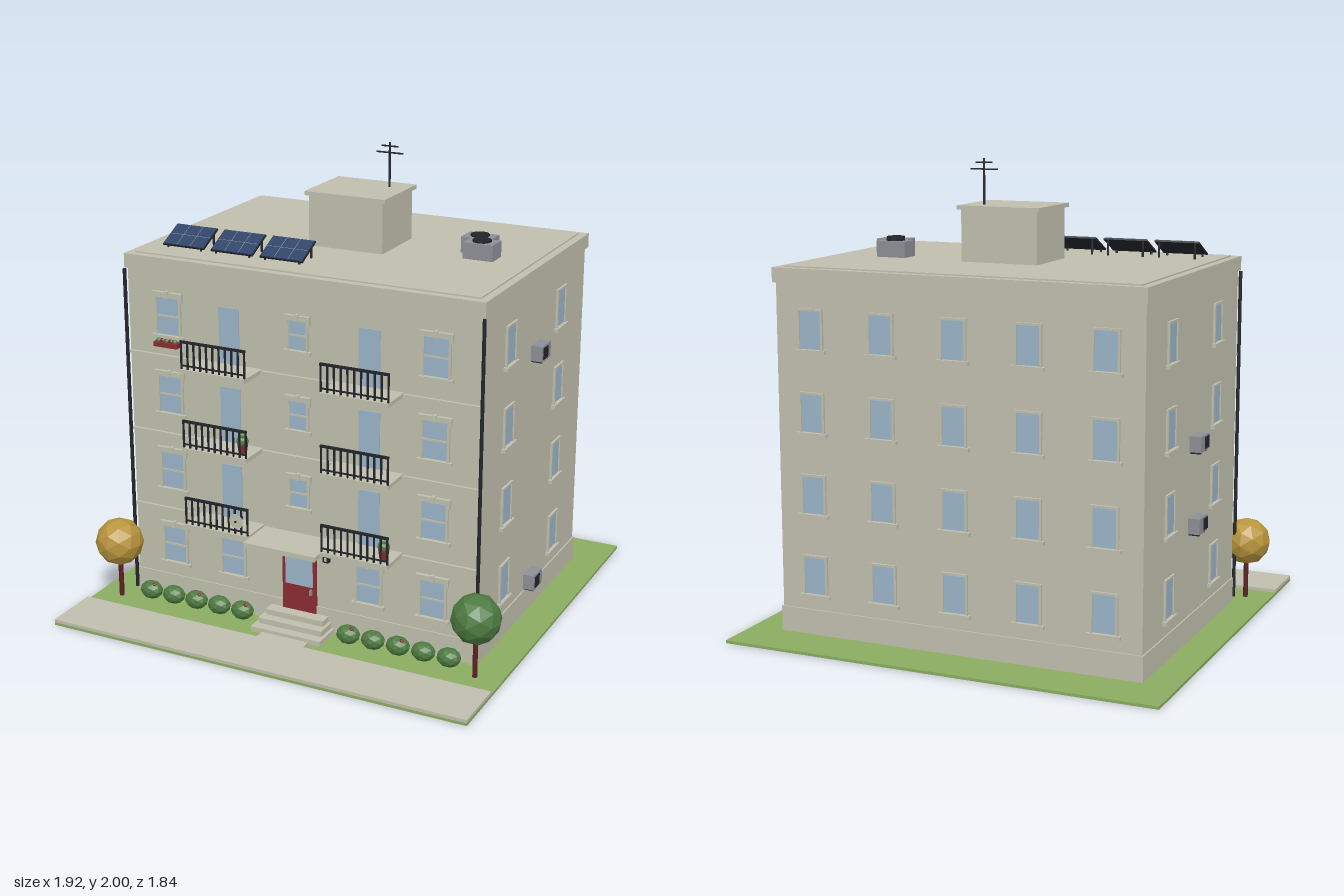
import * as THREE from 'three';

const COLORS = {
  stone: 0xc0bfae, lawn: 0x8bac60, glass: 0x9ab4c8, red: 0x8a2b30, black: 0x22242a,
  metal: 0x8d8f96, solar: 0x2f4468, leaf: 0x4d7a40, gold: 0xb8943c, bark: 0x5a2222,
};

export function createModel() {
  const root = new THREE.Group();
  root.name = 'apartmentBuilding';
  const mats = {};
  for (const [name, color] of Object.entries(COLORS)) {
    mats[name] = new THREE.MeshStandardMaterial({ color, flatShading: true });
    mats[name].name = name;
  }

  const add = (parent, name, geo, mat, x = 0, y = 0, z = 0) => {
    const m = new THREE.Mesh(geo, mats[mat]);
    m.name = name;
    m.position.set(x, y, z);
    parent.add(m);
    return m;
  };
  // Box given by its lower and upper limits on each axis
  const box = (parent, name, mat, x0, x1, y0, y1, z0, z1) =>
    add(parent, name, new THREE.BoxGeometry(x1 - x0, y1 - y0, z1 - z0), mat,
      (x0 + x1) / 2, (y0 + y1) / 2, (z0 + z1) / 2);
  const rod = (parent, name, mat, r, y0, y1, x, z, sides = 8) =>
    add(parent, name, new THREE.CylinderGeometry(r, r, y1 - y0, sides), mat, x, (y0 + y1) / 2, z);
  const group = (name, x = 0, y = 0, z = 0, ry = 0) => {
    const g = new THREE.Group();
    g.name = name;
    g.position.set(x, y, z);
    g.rotation.y = ry;
    root.add(g);
    return g;
  };

  const FRONT = 0.465, BACK = -0.695, SIDE = 0.81, STOREY = 0.348;

  // Ground
  box(root, 'lawn', 'lawn', -0.96, 0.96, 0, 0.012, -0.92, 0.915);
  box(root, 'pavement', 'stone', -0.96, 0.96, 0.012, 0.026, 0.665, 0.915);
  box(root, 'path', 'stone', -0.11, 0.11, 0.012, 0.02, 0.58, 0.666);

  // Main block with plinth, cornice and roof
  box(root, 'walls', 'stone', -SIDE, SIDE, 0.01, 1.51, BACK, FRONT);
  box(root, 'plinth', 'stone', -0.816, 0.816, 0.01, 0.12, -0.702, 0.471);
  box(root, 'cornice', 'stone', -0.82, 0.82, 1.504, 1.566, -0.71, 0.476);
  box(root, 'roofSlab', 'stone', -0.785, 0.785, 1.56, 1.572, -0.675, 0.441);
  for (let k = 1; k < 4; k++) {
    const y = 0.435 + (k - 1) * 0.35;
    box(root, 'stringCourse', 'stone', -0.812, 0.812, y - 0.006, y + 0.006, FRONT - 0.01, 0.478);
  }

  // Framed window facing local +z, with its frame bottom at local y = 0
  function windowUnit(name, x, y, z, ry, w, h, ornate) {
    const g = group(name, x, y, z, ry), a = w / 2, t = 0.01, d = 0.01;
    box(g, 'pane', 'glass', -a + t, a - t, t, h - t, -0.002, 0.004);
    for (const s of [-1, 1])
      add(g, 'jamb', new THREE.BoxGeometry(t, h, d), 'stone', s * (a - t / 2), h / 2, d / 2);
    box(g, 'frameTop', 'stone', -a + t, a - t, h - t, h, 0, d);
    box(g, 'sill', 'stone', -a - 0.012, a + 0.012, -0.008, 0.008, 0, 0.018);
    if (ornate) {
      box(g, 'crossbar', 'stone', -a + t, a - t, h * 0.5 - 0.004, h * 0.5 + 0.004, 0, 0.008);
      box(g, 'lintel', 'stone', -a - 0.01, a + 0.01, h - 0.008, h + 0.014, 0, 0.016);
      box(g, 'keystone', 'stone', -0.008, 0.008, h - 0.01, h + 0.019, 0, 0.019);
      for (const s of [-1, 1])
        add(g, 'bracket', new THREE.BoxGeometry(0.014, 0.018, 0.012), 'stone', s * (a + 0.001), h - 0.016, 0.006);
    }
  }

  for (let k = 0; k < 4; k++) {
    const yf = 0.178 + k * 0.3485;
    for (const s of [-1, 1]) {
      windowUnit('frontWindow', s * 0.615, yf, FRONT, 0, 0.126, 0.182, true);
      if (k === 0) windowUnit('frontWindow', s * 0.323, yf, FRONT, 0, 0.126, 0.182, true);
      for (const z of [-0.4, 0.18])
        windowUnit('sideWindow', s * SIDE, 0.18 + k * STOREY, z, s * Math.PI / 2, 0.11, 0.178, false);
    }
    if (k > 0) windowUnit('stairWindow', 0, 0.553 + (k - 1) * 0.346, FRONT, 0, 0.098, 0.143, true);
    for (let i = -2; i <= 2; i++)
      windowUnit('backWindow', i * 0.325, 0.18 + k * STOREY, BACK, Math.PI, 0.118, 0.178, false);
  }

  // Balconies with glazed doors and front railings
  for (let k = 0; k < 3; k++) for (const s of [-1, 1]) {
    const g = group('balcony', s * 0.323, 0.445 + k * 0.348, 0);
    box(g, 'slab', 'stone', -0.153, 0.153, -0.014, 0.004, FRONT, 0.615);
    box(g, 'balconyDoor', 'glass', -0.048, 0.048, 0.004, 0.248, FRONT - 0.002, FRONT + 0.004);
    box(g, 'topRail', 'black', -0.153, 0.153, 0.116, 0.126, 0.6, 0.61);
    box(g, 'bottomRail', 'black', -0.153, 0.153, 0.016, 0.022, 0.602, 0.608);
    for (let i = 0; i <= 10; i++) {
      const x = -0.149 + i * 0.0298;
      box(g, 'baluster', 'black', x - 0.0035, x + 0.0035, 0.004, 0.118, 0.6015, 0.6085);
    }
  }

  // Entrance: door, canopy, steps and lamps
  box(root, 'door', 'red', -0.08, 0.08, 0.085, 0.37, FRONT, 0.476);
  box(root, 'doorPane', 'glass', -0.065, 0.065, 0.205, 0.347, 0.474, 0.479);
  box(root, 'doorHandle', 'metal', 0.052, 0.062, 0.17, 0.195, 0.474, 0.486);
  box(root, 'canopy', 'stone', -0.163, 0.163, 0.415, 0.428, FRONT, 0.648);
  box(root, 'canopyTop', 'stone', -0.168, 0.168, 0.428, 0.441, FRONT, 0.655);
  for (let i = 0; i < 3; i++)
    box(root, 'step', 'stone', -0.165 + i * 0.014, 0.165 - i * 0.014, 0.01, 0.035 + i * 0.025, FRONT, 0.61 - i * 0.042);
  for (const s of [-1, 1]) {
    const g = group('wallLamp', s * 0.13, 0.353, FRONT);
    box(g, 'lampBody', 'black', -0.013, 0.013, -0.015, 0.015, 0, 0.02);
    box(g, 'lampFace', 'stone', -0.006, 0.006, -0.008, 0.008, 0.018, 0.022);
    rod(root, 'drainpipe', 'black', 0.008, 0.03, 1.5, s * 0.817, 0.48);
  }

  // Wall-mounted air conditioners
  for (const [s, y] of [[1, 1.2], [1, 0.16], [-1, 0.853], [-1, 0.507]]) {
    const g = group('wallAirConditioner', s * SIDE, y, -0.11, s * Math.PI / 2);
    box(g, 'housing', 'metal', -0.05, 0.05, -0.03, 0.036, 0, 0.05);
    box(g, 'grille', 'black', -0.038 * s - 0.0 - (s > 0 ? 0 : 0.052) + (s < 0 ? 0.014 : 0),
      -0.038 * s + (s > 0 ? 0.052 : 0.014), -0.022, 0.028, 0.048, 0.053);
    for (const x of [-0.035, 0.035]) box(g, 'foot', 'black', x - 0.005, x + 0.005, -0.038, -0.03, 0, 0.045);
  }

  // Roof house and aerial
  box(root, 'roofHouse', 'stone', -0.172, 0.172, 1.57, 1.795, -0.26, 0.035);
  box(root, 'roofHouseCap', 'stone', -0.187, 0.187, 1.79, 1.808, -0.275, 0.045);
  rod(root, 'aerialMast', 'black', 0.005, 1.8, 2, 0.1, -0.187);
  box(root, 'aerialBar', 'black', 0.038, 0.162, 1.952, 1.958, -0.19, -0.184);
  box(root, 'aerialBar', 'black', 0.062, 0.138, 1.98, 1.986, -0.19, -0.184);

  // Roof cooling units
  for (const [x, z] of [[0.52, -0.188], [0.563, -0.104]]) {
    box(root, 'coolingUnit', 'metal', x - 0.067, x + 0.067, 1.57, 1.641, z - 0.048, z + 0.048);
    rod(root, 'coolingFan', 'black', 0.04, 1.638, 1.65, x, z, 10);
  }

  // Tilted solar panels on legs
  for (const x of [-0.613, -0.38, -0.146]) {
    const g = group('solarPanel', x, 1.615, 0.275);
    const tilt = new THREE.Group();
    tilt.name = 'panel';
    tilt.rotation.x = 0.46;
    g.add(tilt);
    box(tilt, 'backing', 'black', -0.1, 0.1, -0.005, 0.002, -0.068, 0.068);
    box(tilt, 'cells', 'solar', -0.096, 0.096, 0.002, 0.005, -0.065, 0.065);
    for (const t of [-0.032, 0.032]) box(tilt, 'cellLine', 'metal', t - 0.001, t + 0.001, 0.004, 0.006, -0.065, 0.065);
    box(tilt, 'cellLine', 'metal', -0.096, 0.096, 0.004, 0.006, -0.001, 0.001);
    for (const s of [-1, 1]) {
      rod(g, 'rearLeg', 'black', 0.005, -0.045, 0.026, s * 0.08, -0.057, 6);
      rod(g, 'frontLeg', 'black', 0.005, -0.045, -0.025, s * 0.08, 0.05, 6);
    }
  }

  // Trees and shrubs
  for (const [x, mat] of [[-0.85, 'gold'], [0.845, 'leaf']]) {
    rod(root, 'treeTrunk', 'bark', 0.011, 0.01, 0.2, x, 0.558);
    add(root, 'treeCrown', new THREE.IcosahedronGeometry(0.106, 1), mat, x, 0.272, 0.558);
  }
  for (const s of [-1, 1]) for (let i = 0; i < 5; i++) {
    const x = s * (0.255 + i * 0.115);
    add(root, 'shrub', new THREE.IcosahedronGeometry(0.053, 1), 'leaf', x, 0.052, 0.523).scale.set(1, 0.78, 0.8);
    if (i % 2 === 0 && s * i < 4)
      add(root, 'blossom', new THREE.IcosahedronGeometry(0.01, 0), 'red', x + 0.022, 0.084, 0.535);
  }

  // Window box and potted plants
  box(root, 'windowBox', 'red', -0.672, -0.558, 1.185, 1.205, FRONT, 0.503);
  for (let i = 0; i < 5; i++)
    add(root, 'boxPlant', new THREE.IcosahedronGeometry(0.012, 0), i % 2 ? 'red' : 'leaf', -0.655 + i * 0.02, 1.21, 0.487);
  for (const [x, y] of [[-0.215, 0.797], [0.435, 0.449]]) {
    const g = group('pottedPlant', x, y, 0.56);
    add(g, 'pot', new THREE.CylinderGeometry(0.023, 0.017, 0.04, 10), 'red', 0, 0.02, 0);
    add(g, 'lowerLeaves', new THREE.IcosahedronGeometry(0.026, 1), 'leaf', 0, 0.056, 0);
    add(g, 'upperLeaves', new THREE.IcosahedronGeometry(0.018, 1), 'leaf', 0, 0.08, 0);
  }

  // Satellite dish on the lower left railing
  const dish = group('satelliteDish', -0.2, 0.53, 0.648);
  add(dish, 'bowl', new THREE.CylinderGeometry(0.033, 0.024, 0.012, 16), 'stone').rotation.x = Math.PI / 2;
  box(dish, 'arm', 'black', -0.004, 0.004, -0.004, 0.004, -0.045, -0.005);
  box(dish, 'receiver', 'black', -0.003, 0.003, -0.003, 0.003, 0.005, 0.016);

  return root;
}
